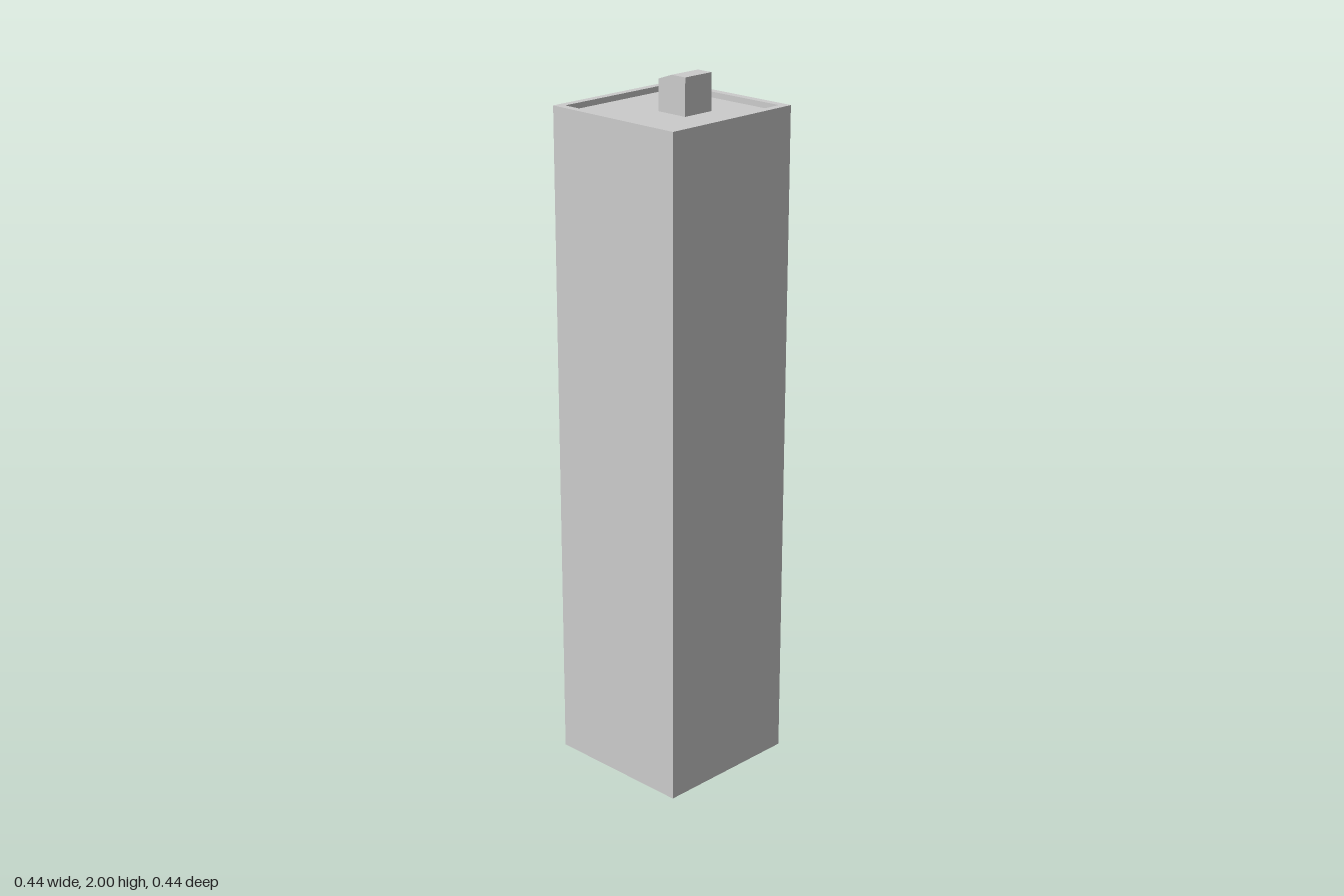
import * as THREE from 'three';

const H = 1.912;      // top of the parapet
const ROOF = 1.896;   // sunken roof level
const OUT = 0.2225;   // outer half width
const INN = 0.2;      // inner half width

export function createModel() {
  const group = new THREE.Group();
  const material = new THREE.MeshStandardMaterial({ color: 0xcccccc, flatShading: true });

  const add = (name, geometry) => {
    const mesh = new THREE.Mesh(geometry, material);
    mesh.name = name;
    group.add(mesh);
    return mesh;
  };
  const square = (Type, h) => new Type([
    new THREE.Vector2(-h, -h), new THREE.Vector2(h, -h),
    new THREE.Vector2(h, h), new THREE.Vector2(-h, h),
  ]);

  // Outer walls: a square tube whose rim forms the parapet
  const wallShape = square(THREE.Shape, OUT);
  wallShape.holes.push(square(THREE.Path, INN));
  const walls = new THREE.ExtrudeGeometry(wallShape, { depth: H, bevelEnabled: false });
  walls.rotateX(-Math.PI / 2);
  add('outerWalls', walls);

  // Core filling the tube up to the sunken roof
  add('roofCore', new THREE.BoxGeometry(2 * INN, ROOF, 2 * INN)).position.y = ROOF / 2;

  // Rooftop hut: side profile (z, y) with the back half of its top sloping down
  const profile = new THREE.Shape([
    [-0.026, ROOF], [0.073, ROOF], [0.073, 2], [0.023, 2], [-0.026, 1.983],
  ].map(([z, y]) => new THREE.Vector2(z, y)));
  const hut = new THREE.ExtrudeGeometry(profile, { depth: 0.099, bevelEnabled: false });
  hut.rotateY(-Math.PI / 2);   // profile x becomes +z, depth runs to -x
  hut.translate(0.074, 0, 0);
  add('rooftopHut', hut);

  return group;
}
